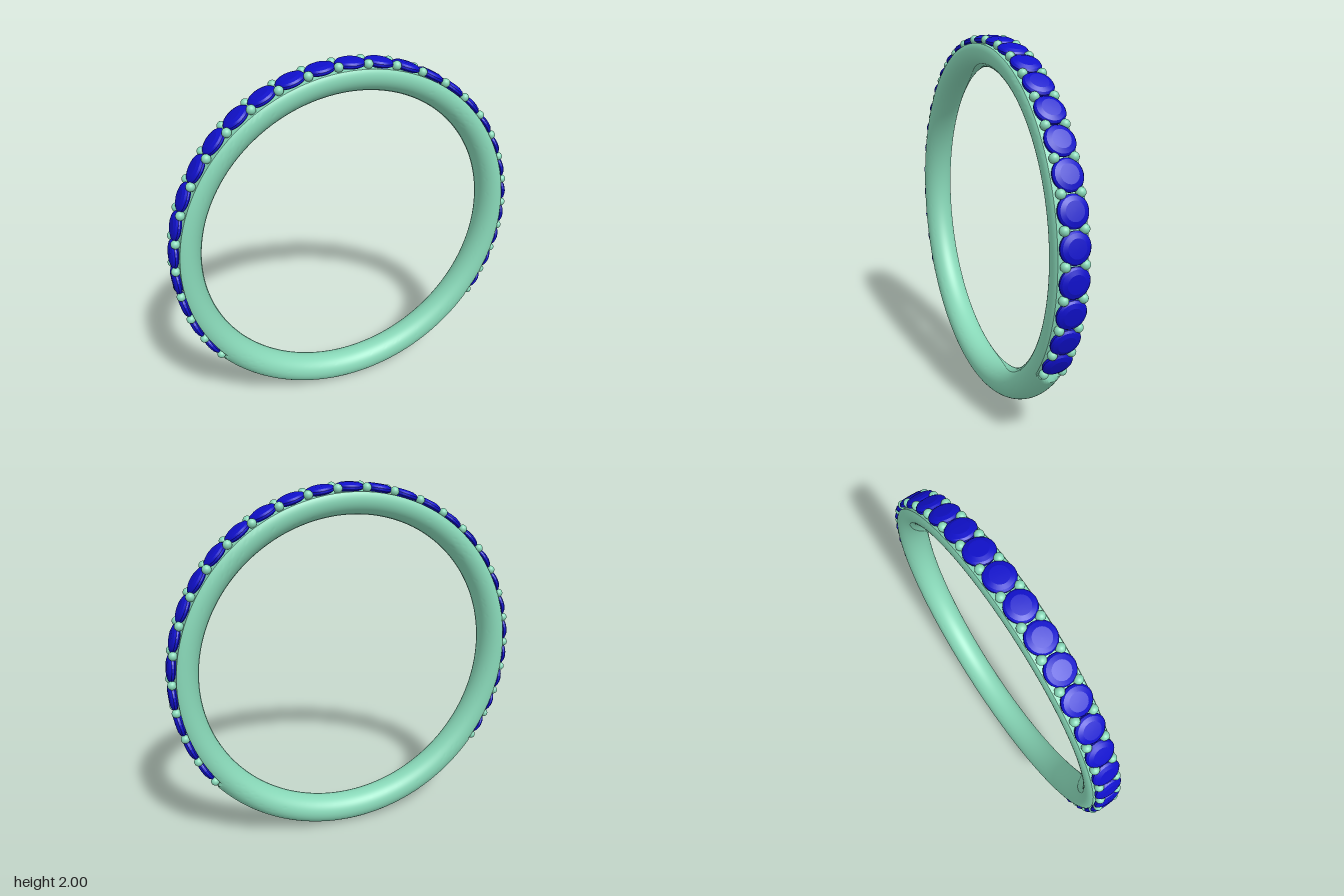
import * as THREE from 'three';
import { toCreasedNormals } from 'three/addons/utils/BufferGeometryUtils.js';

const CENTRE_Y = 1;
const STEP = THREE.MathUtils.degToRad(9.25); // angle between stones
const STONES_PER_SIDE = 13;
const SEAT_RADIUS = 0.957; // floor of the stone channel
const SEAT_END = THREE.MathUtils.degToRad(126); // channel end, from the top

// Round band whose outer side is cut down where the stones sit
function bandGeometry() {
  const geo = new THREE.TorusGeometry(0.9175, 0.0825, 48, 320);
  const p = geo.attributes.position;
  for (let i = 0; i < p.count; i++) {
    const x = p.getX(i), y = p.getY(i);
    const r = Math.hypot(x, y);
    const fromTop = Math.abs(Math.atan2(x, y));
    const ramp = THREE.MathUtils.clamp((fromTop - SEAT_END) / 0.03, 0, 1);
    const limit = THREE.MathUtils.lerp(SEAT_RADIUS, 1.0, ramp);
    const k = Math.min(r, limit) / r;
    p.setXYZ(i, x * k, y * k, p.getZ(i) * 1.06);
  }
  return toCreasedNormals(geo, 0.6);
}

// Faceted round stone: culet, girdle, crown, table
function stoneGeometry() {
  const profile = [[0, -0.05], [0.074, -0.012], [0.077, -0.006], [0.077, 0.002], [0.068, 0.012], [0.046, 0.02], [0, 0.022]];
  const geo = new THREE.LatheGeometry(profile.map(([x, y]) => new THREE.Vector2(x, y)), 24);
  return toCreasedNormals(geo, 0.2);
}

export function createModel() {
  const model = new THREE.Group();
  model.name = 'ring';
  const metal = new THREE.MeshStandardMaterial({ color: 0x88d8b8 });
  const blue = new THREE.MeshStandardMaterial({ color: 0x1010cc });

  const add = (parent, name, geo, mat) => {
    const mesh = new THREE.Mesh(geo, mat);
    mesh.name = name;
    parent.add(mesh);
    return mesh;
  };

  add(model, 'band', bandGeometry(), metal).position.y = CENTRE_Y;

  // Puts a mesh on the rim at an angle from the top, facing outwards
  const place = (mesh, angle, radius, z) => {
    mesh.position.set(Math.sin(angle) * radius, CENTRE_Y + Math.cos(angle) * radius, z);
    mesh.rotation.z = -angle;
  };

  // Stones
  const stones = new THREE.Group();
  stones.name = 'stones';
  const stoneGeo = stoneGeometry();
  for (let i = -STONES_PER_SIDE; i <= STONES_PER_SIDE; i++) {
    place(add(stones, 'stone', stoneGeo, blue), i * STEP, 0.977, 0);
  }

  // Pairs of beads between the stones and at both ends
  const beads = new THREE.Group();
  beads.name = 'beads';
  const beadGeo = new THREE.SphereGeometry(0.024, 20, 14);
  for (let i = -STONES_PER_SIDE - 1; i <= STONES_PER_SIDE; i++) {
    for (const side of [-1, 1]) {
      place(add(beads, 'bead', beadGeo, metal), (i + 0.5) * STEP, 0.976, side * 0.049);
    }
  }

  model.add(stones, beads);
  return model;
}
